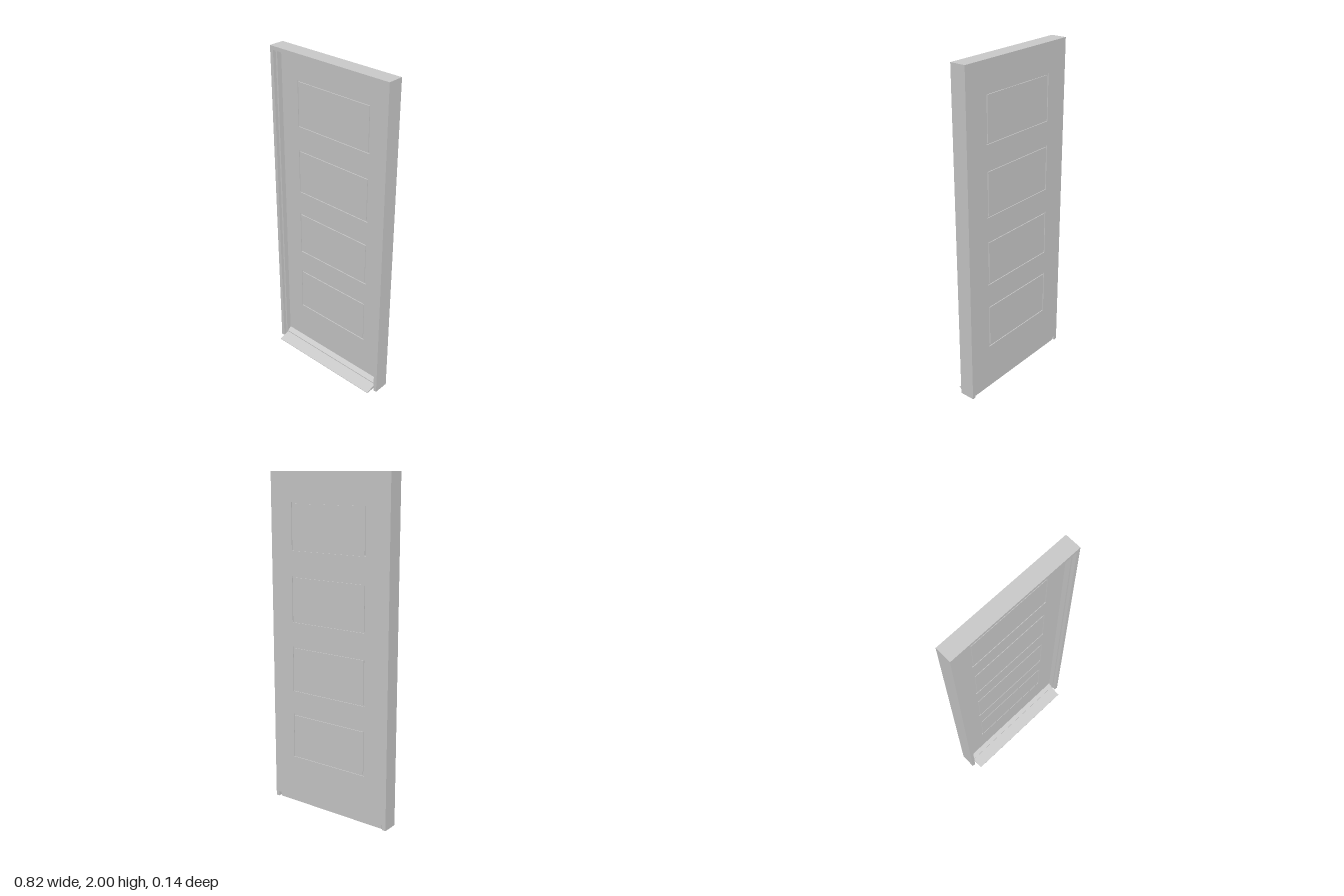
import * as THREE from 'three';

const material = new THREE.MeshStandardMaterial({ color: 0xcccccc, flatShading: true });

const BACK = -0.07, FRONT = 0.025, DOOR_FRONT = -0.026;
const GROOVE_DEPTH = 0.005, GROOVE = 0.009;
const SLAB = { x: 0.39, bottom: 0.03, top: 1.978 };

function polygon(points) {
  return new THREE.Shape(points.map(([x, y]) => new THREE.Vector2(x, y)));
}

function rect(x, bottom, top) {
  return polygon([[-x, bottom], [x, bottom], [x, top], [-x, top]]);
}

// Extrude a shape in the xy plane between two depths
function slice(name, shape, z0, z1) {
  const geometry = new THREE.ExtrudeGeometry(shape, { depth: z1 - z0, bevelEnabled: false });
  geometry.translate(0, 0, z0);
  const mesh = new THREE.Mesh(geometry, material);
  mesh.name = name;
  return mesh;
}

// Inverted U: two legs and a head
function surround(name, outer, inner, outerTop, innerTop, z0, z1) {
  return slice(name, polygon([
    [-outer, 0], [-inner, 0], [-inner, innerTop], [inner, innerTop],
    [inner, 0], [outer, 0], [outer, outerTop], [-outer, outerTop],
  ]), z0, z1);
}

// Door leaf: a core with a grooved skin on each face
function createDoor() {
  const door = new THREE.Group();
  door.name = 'door';
  const panels = [0.295, 0.713, 1.133, 1.553].map(y => [y, y + 0.275]);
  const back = BACK + GROOVE_DEPTH, front = DOOR_FRONT - GROOVE_DEPTH;
  door.add(slice('doorCore', rect(SLAB.x, SLAB.bottom, SLAB.top), back, front));

  for (const [side, z0, z1] of [['front', front, DOOR_FRONT], ['back', BACK, back]]) {
    const skin = rect(SLAB.x, SLAB.bottom, SLAB.top);
    for (const [bottom, top] of panels) {
      skin.holes.push(rect(0.26, bottom, top));
      door.add(slice(side + 'Panel',
        rect(0.26 - GROOVE, bottom + GROOVE, top - GROOVE), z0, z1));
    }
    door.add(slice(side + 'Skin', skin, z0, z1));
  }
  return door;
}

// Sloping sill with a raised lip against the door, swept along x
function createSill() {
  const halfWidth = 0.379;
  const profile = polygon([
    [0.07, 0], [0.07, 0.003], [0, 0.025], [0, 0.031], [DOOR_FRONT, 0.05],
    [DOOR_FRONT, 0.028], [-0.06, 0.028], [-0.06, 0],
  ]);
  const geometry = new THREE.ExtrudeGeometry(profile, { depth: 2 * halfWidth, bevelEnabled: false });
  geometry.rotateY(-Math.PI / 2); // profile x becomes z, depth becomes -x
  geometry.translate(halfWidth, 0, 0);
  const sill = new THREE.Mesh(geometry, material);
  sill.name = 'sill';
  return sill;
}

export function createModel() {
  const model = new THREE.Group();
  model.name = 'panelDoor';
  model.add(
    surround('frame', 0.412, 0.39, 2, 1.978, BACK, FRONT),
    surround('doorStop', 0.39, 0.38, 1.978, 1.968, DOOR_FRONT, 0.005),
    createDoor(),
    createSill(),
  );
  return model;
}
